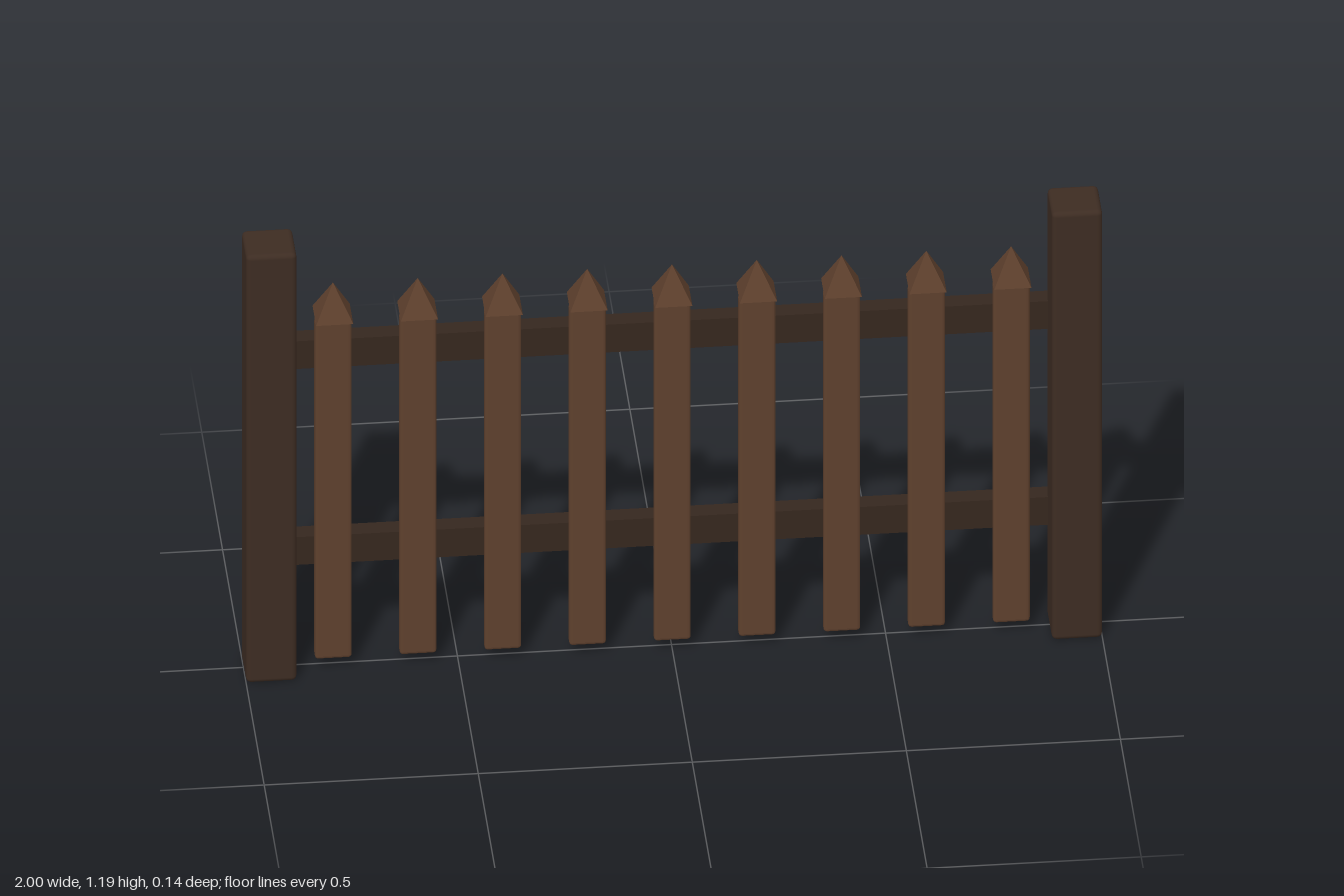
import * as THREE from 'three';
import { RoundedBoxGeometry } from 'three/addons/geometries/RoundedBoxGeometry.js';

const mat = (name, color, flatShading = false) => {
  const m = new THREE.MeshStandardMaterial({ color, flatShading });
  m.name = name;
  return m;
};

export function createModel() {
  const fence = new THREE.Group();
  fence.name = 'picketFence';
  const postWood = mat('dark post wood', 0x3d2c22);
  const railWood = mat('dark rail wood', 0x35271e);
  const picketWood = mat('brown picket wood', 0x5e402d, true);

  const add = (name, geometry, material, x, y, z) => {
    const mesh = new THREE.Mesh(geometry, material);
    mesh.name = name;
    mesh.position.set(x, y, z);
    fence.add(mesh);
  };
  const centreZ = 0.0125; // shared centre plane of posts and pickets

  // End posts with softened edges
  const post = new RoundedBoxGeometry(0.118, 1.188, 0.118, 2, 0.012);
  for (const side of [-1, 1]) {
    add(side > 0 ? 'leftPost' : 'rightPost', post, postWood, side * 0.941, 0.594, centreZ);
  }

  // Two rails running behind the pickets
  const rail = new THREE.BoxGeometry(1.78, 0.077, 0.045);
  add('lowerRail', rail, railWood, 0, 0.298, -0.0495);
  add('upperRail', rail, railWood, 0, 0.843, -0.0495);

  // Thin pickets, each with a square pyramid tip that overhangs front and back
  const picket = new RoundedBoxGeometry(0.086, 0.94, 0.03, 2, 0.008);
  const tip = new THREE.ConeGeometry(0.0435 * Math.SQRT2, 0.09, 4).rotateY(Math.PI / 4);
  for (let i = -4; i <= 4; i++) {
    const x = i * 0.198;
    add('picket', picket, picketWood, x, 0.498, centreZ);
    add('picketTip', tip, picketWood, x, 1.021, centreZ);
  }
  return fence;
}
